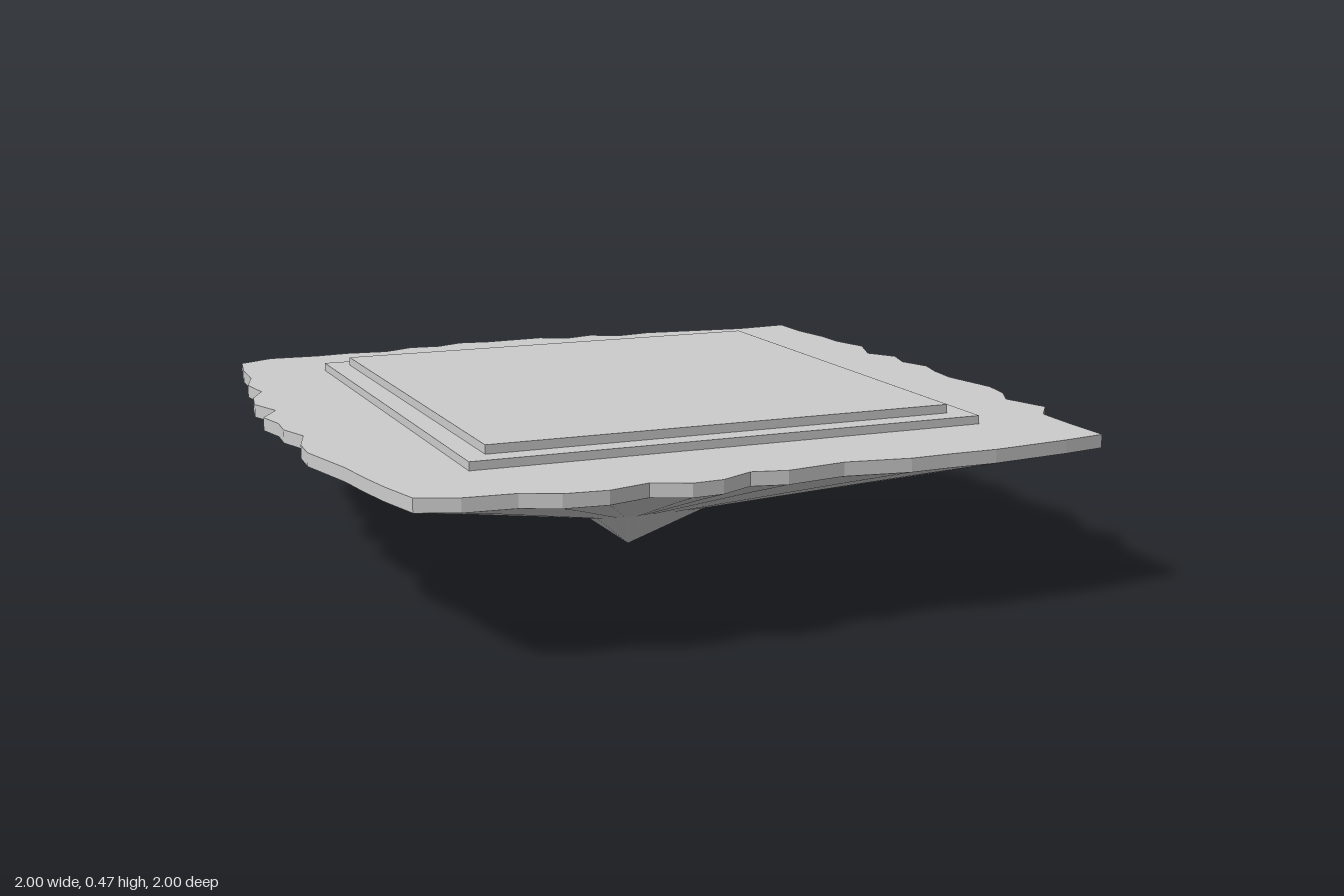
import * as THREE from 'three';

const material = new THREE.MeshStandardMaterial({ color: 0xcccccc, flatShading: true });

// Ragged rim, side by side: [x, z] points, clockwise seen from above
const back = [[-0.89, -0.9], [-0.79, -0.95], [-0.65, -0.94], [-0.55, -0.95], [-0.43, -0.935], [-0.34, -0.975],
  [-0.25, -0.965], [-0.17, -1], [-0.08, -0.985], [0.1, -0.995], [0.18, -0.955], [0.27, -0.98],
  [0.35, -0.935], [0.46, -0.955], [0.62, -0.935], [0.78, -0.915], [0.94, -0.93]];
const left = [[0.94, -0.8], [0.96, -0.67], [0.96, -0.57], [0.99, -0.46], [0.945, -0.34], [0.995, -0.26],
  [0.97, -0.17], [1, -0.08], [0.98, 0], [0.97, 0.1], [1, 0.27], [0.985, 0.36], [0.945, 0.44],
  [0.985, 0.57], [0.925, 0.65], [0.92, 0.78], [0.92, 0.92]];
const front = [[0.8, 0.94], [0.58, 0.965], [0.45, 0.965], [0.34, 0.97], [0.17, 0.945], [0.01, 0.97],
  [-0.08, 0.95], [-0.17, 0.995], [-0.25, 1], [-0.34, 0.96], [-0.45, 0.99], [-0.56, 0.98],
  [-0.65, 0.94], [-0.78, 0.93], [-0.88, 0.89]];
const right = [[-0.91, 0.77], [-0.93, 0.66], [-0.945, 0.55], [-0.99, 0.36], [-0.985, 0.27], [-0.955, 0.17],
  [-0.985, 0.08], [-0.98, 0], [-1, -0.09], [-0.95, -0.17], [-0.985, -0.27], [-0.97, -0.36],
  [-0.93, -0.44], [-0.945, -0.55], [-0.915, -0.65], [-0.91, -0.78]];
const rim = [...back, ...left, ...front, ...right];

const RIM_BOTTOM = 0.39;
const RIM_TOP = 0.425;

// Rock underside: the rim shrinks ring by ring down to a point
function undersideGeometry() {
  const rings = [[1, RIM_BOTTOM], [0.8, 0.327], [0.5, 0.23], [0.175, 0.125], [0, 0]]; // [scale, y]
  const n = rim.length;
  const positions = [];
  const indices = [];
  for (const [scale, y] of rings) {
    for (const [x, z] of rim) positions.push(x * scale, y, z * scale);
  }
  for (let r = 0; r < rings.length - 1; r++) {
    for (let i = 0; i < n; i++) {
      const a = r * n + i;
      const b = r * n + (i + 1) % n;
      indices.push(a, b, a + n);
      if (r < rings.length - 2) indices.push(b, b + n, a + n);
    }
  }
  const geometry = new THREE.BufferGeometry();
  geometry.setAttribute('position', new THREE.Float32BufferAttribute(positions, 3));
  geometry.setIndex(indices);
  const flat = geometry.toNonIndexed();
  flat.computeVertexNormals();
  return flat;
}

export function createModel() {
  const model = new THREE.Group();
  model.name = 'floatingIsland';

  const add = (name, geometry) => {
    const mesh = new THREE.Mesh(geometry, material);
    mesh.name = name;
    model.add(mesh);
    return mesh;
  };

  // Ground slab with the ragged edge
  const outline = new THREE.Shape(rim.map(([x, z]) => new THREE.Vector2(x, -z)));
  const ground = new THREE.ExtrudeGeometry(outline, { depth: RIM_TOP - RIM_BOTTOM, bevelEnabled: false });
  ground.rotateX(-Math.PI / 2);
  add('groundSlab', ground).position.y = RIM_BOTTOM;

  add('rockUnderside', undersideGeometry());

  // Two stepped square platforms
  const platform = (name, size, bottom, top) => {
    add(name, new THREE.BoxGeometry(size, top - bottom, size)).position.set(0.007, (bottom + top) / 2, 0);
  };
  platform('lowerPlatform', 1.385, RIM_TOP, 0.447);
  platform('upperPlatform', 1.265, 0.447, 0.47);

  return model;
}
